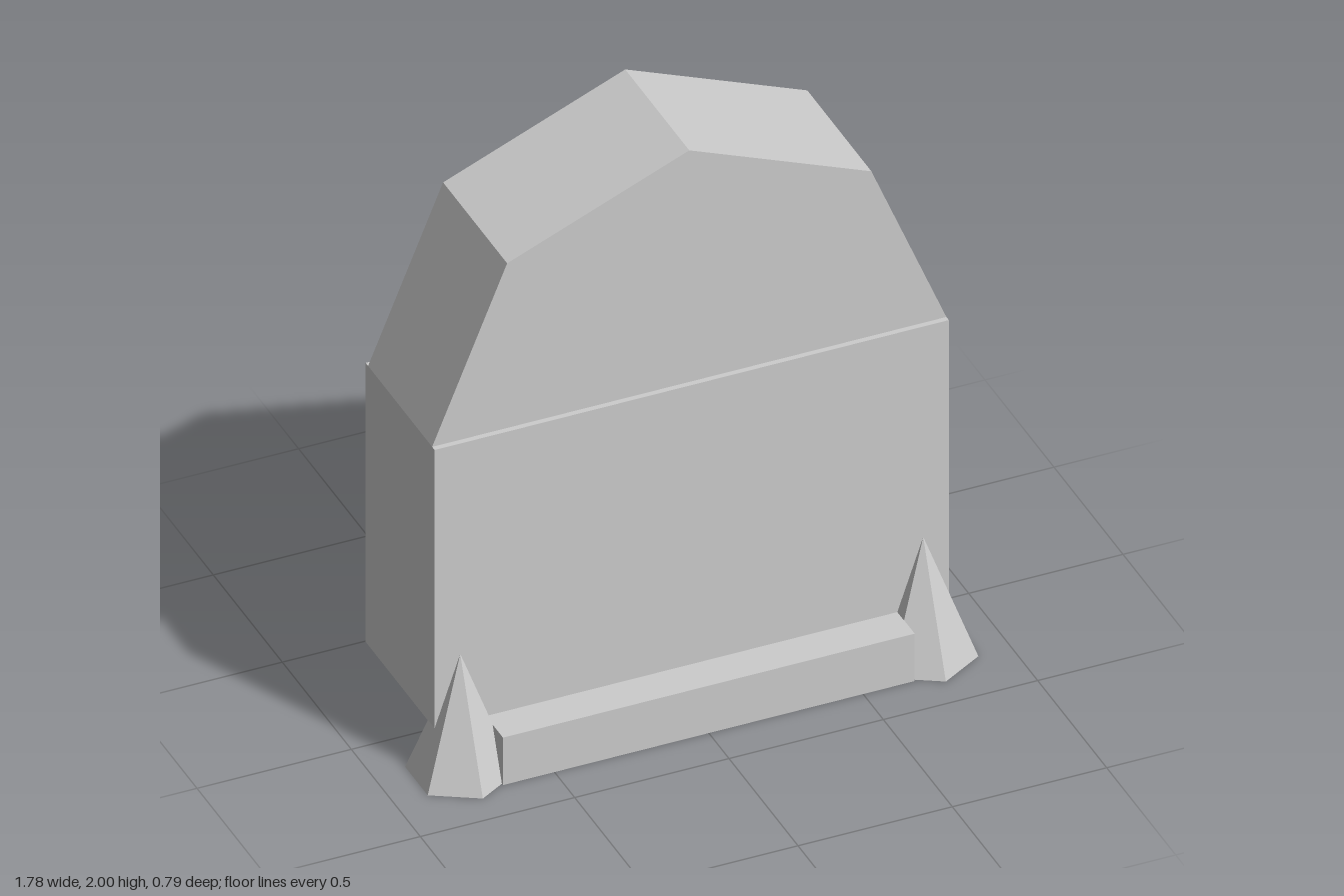
import * as THREE from 'three';

const material = new THREE.MeshStandardMaterial({ color: 0xcccccc, flatShading: true });

function addPart(group, name, geometry, x, y, z) {
  const mesh = new THREE.Mesh(geometry, material);
  mesh.name = name;
  mesh.position.set(x, y, z);
  group.add(mesh);
}

export function createModel() {
  const model = new THREE.Group();
  model.name = 'headstone';

  // Low plinth, deeper than the slab
  addPart(model, 'base', new THREE.BoxGeometry(1.334, 0.17, 0.75), 0, 0.085, -0.021);

  // Main slab
  addPart(model, 'slab', new THREE.BoxGeometry(1.666, 1, 0.5), 0, 0.67, -0.02);

  // Slightly thinner faceted crown
  const outline = [[-0.833, 1.17], [0.833, 1.17], [0.59, 1.76], [0, 2], [-0.59, 1.76]];
  const shape = new THREE.Shape(outline.map(([x, y]) => new THREE.Vector2(x, y)));
  const crown = new THREE.ExtrudeGeometry(shape, { depth: 0.464, bevelEnabled: false });
  addPart(model, 'crown', crown, 0, 0, -0.252);

  // Six-sided spikes at the front corners
  for (const [side, name] of [[1, 'leftSpike'], [-1, 'rightSpike']]) {
    addPart(model, name, new THREE.ConeGeometry(0.164, 0.416, 6), side * 0.75, 0.208, 0.23);
  }

  return model;
}
